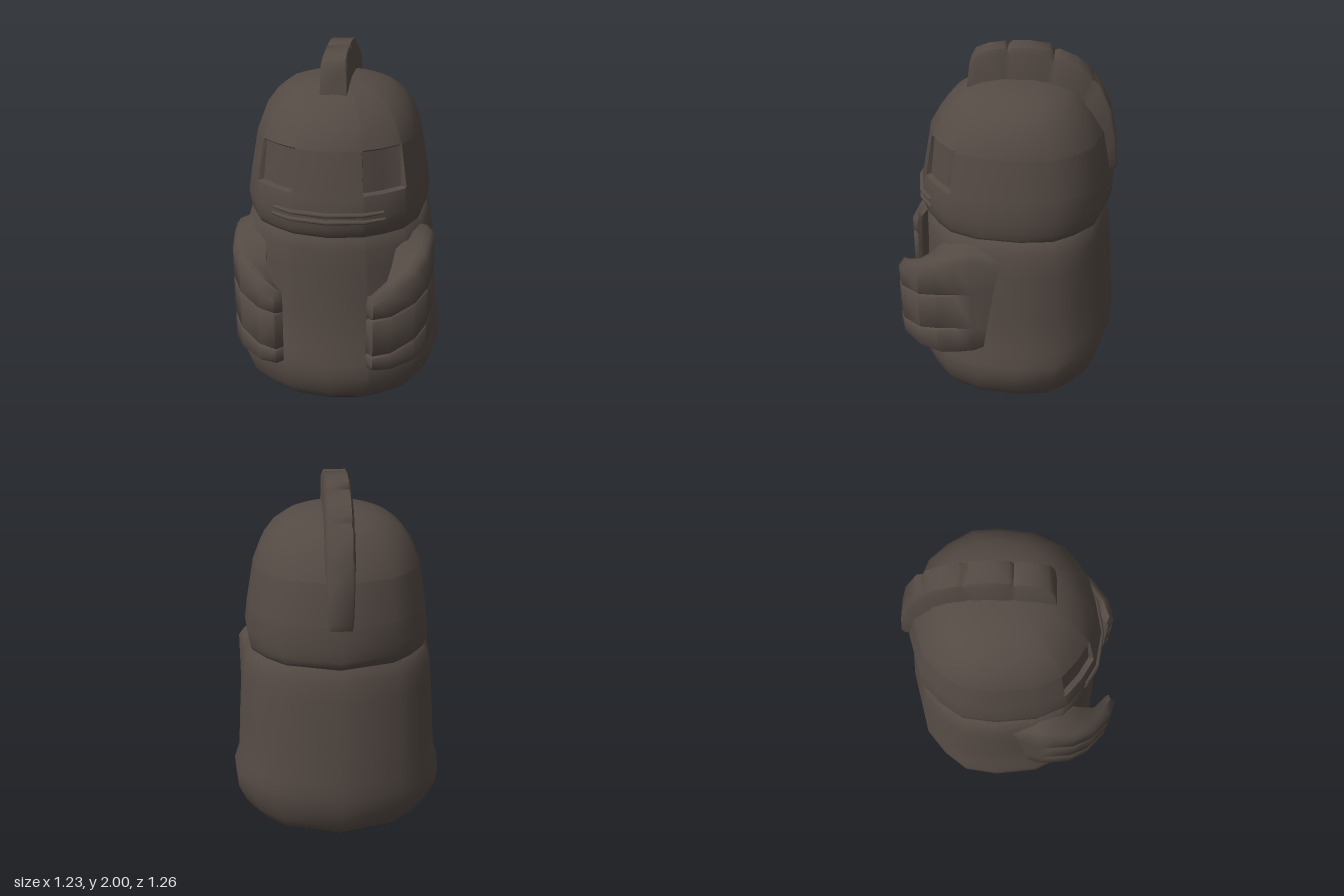
import * as THREE from 'three';
import { toCreasedNormals } from 'three/addons/utils/BufferGeometryUtils.js';

function material(name, color) {
  const m = new THREE.MeshStandardMaterial({ color });
  m.name = name;
  return m;
}
const brown = material('dark brown', 0x544a44);
const black = material('black', 0x232323);

// Skin a list of rings (equal point counts, counter-clockwise about the travel direction) and cap both ends.
function loft(name, rings, { flip = false, mat = brown, crease = 0.95 } = {}) {
  const n = rings[0].length, pos = [], idx = [];
  const tri = (a, b, c) => (flip ? idx.push(a, c, b) : idx.push(a, b, c));
  rings.forEach(r => r.forEach(p => pos.push(...p)));
  const centre = r => {
    pos.push(...[0, 1, 2].map(k => r.reduce((s, p) => s + p[k], 0) / n));
    return pos.length / 3 - 1;
  };
  const last = rings.length - 1;
  const c0 = centre(rings[0]), c1 = centre(rings[last]);
  for (let i = 0; i < n; i++) {
    const k = (i + 1) % n;
    for (let j = 0; j < last; j++) {
      const a = j * n + i, b = j * n + k;
      tri(a, b, b + n);
      tri(a, b + n, a + n);
    }
    tri(c0, k, i);
    tri(c1, last * n + i, last * n + k);
  }
  const g = new THREE.BufferGeometry();
  g.setAttribute('position', new THREE.Float32BufferAttribute(pos, 3));
  g.setIndex(idx);
  const mesh = new THREE.Mesh(toCreasedNormals(g, crease), mat);
  mesh.name = name;
  return mesh;
}

// Half outline seen from above, front to back; columns 2-4 span an eye.
const half = [[0, 1], [0.38, 0.94], [0.4, 0.93], [0.6, 0.82], [0.79, 0.67], [0.81, 0.645],
  [0.95, 0.36], [1, -0.07], [0.96, -0.41], [0.8, -0.64], [0.59, -0.83], [0, -1]];

// Horizontal ring; eye > 0 sinks the eye columns.
function section([y, w, front, back, eye = 0]) {
  const c = (front + back) / 2, d = (front - back) / 2;
  const right = half.map(([x, z], i) => {
    const sink = i >= 2 && i <= 4 ? eye : 0;
    return [x * w - sink * 0.67, y, c + z * d - sink * 0.74];
  });
  const left = right.slice(1, -1).reverse().map(([x, py, z]) => [-x, py, z]);
  return [...right, ...left];
}

// Arm stations: outer x,z, inner x,z, then heights of base, lower groove, upper groove and top.
const armStations = [
  [0.50, -0.10, 0.40, -0.08, 0.40, 0.54, 0.78, 0.96],
  [0.572, 0.18, 0.42, 0.16, 0.36, 0.53, 0.76, 1.02],
  [0.565, 0.27, 0.40, 0.24, 0.34, 0.515, 0.745, 1.0],
  [0.55, 0.38, 0.37, 0.33, 0.325, 0.50, 0.73, 0.96],
  [0.49, 0.49, 0.35, 0.43, 0.32, 0.46, 0.69, 0.90],
  [0.37, 0.60, 0.33, 0.50, 0.32, 0.43, 0.66, 0.84],
  [0.27, 0.633, 0.26, 0.56, 0.325, 0.42, 0.65, 0.79],
  [0.23, 0.60, 0.24, 0.575, 0.33, 0.42, 0.64, 0.775],
];

function arm(side) {
  const rings = armStations.map(([ox, oz, ix, iz, base, g2, g1, top], s) => {
    const depth = s < 2 ? 0 : 0.01, len = Math.hypot(ox - ix, oz - iz);
    const at = (y, inset) => {
      const t = Math.min(inset / len, 0.45);
      return [side * (ox + (ix - ox) * t), y, oz + (iz - oz) * t];
    };
    const groove = y => [at(y - 0.009, 0), at(y, depth), at(y + 0.009, 0)];
    // The shoulder end slopes up into the body, the fingers round over.
    const shoulder = s < 4 ? 0.03 : -0.015;
    return [at(base, 0.02), at(base + 0.02, 0), ...groove(g2), ...groove(g1),
      at(top - 0.05, 0), at(top - 0.015, 0.025), at(top, 0.06),
      [side * ix, top + shoulder, iz], [side * ix, (base + top) / 2, iz], [side * ix, base, iz]];
  });
  return loft(side > 0 ? 'leftArm' : 'rightArm', rings, { flip: side < 0 });
}

// Crest stations front to back: outer z,y, buried z,y and half width (narrow at the grooves).
const crestStations = [
  [0.215, 1.91, 0.235, 1.74, 0.068], [0.19, 1.955, 0.19, 1.72, 0.072],
  [0.12, 1.982, 0.12, 1.72, 0.072], [0.03, 1.995, 0.025, 1.72, 0.072],
  [0.012, 1.98, 0.01, 1.72, 0.066], [-0.008, 1.998, -0.005, 1.72, 0.072],
  [-0.1, 2.0, -0.08, 1.72, 0.072], [-0.215, 1.985, -0.165, 1.72, 0.073],
  [-0.238, 1.95, -0.19, 1.7, 0.067], [-0.26, 1.957, -0.205, 1.7, 0.074],
  [-0.36, 1.915, -0.27, 1.67, 0.075], [-0.438, 1.855, -0.335, 1.63, 0.075],
  [-0.45, 1.828, -0.35, 1.61, 0.07], [-0.485, 1.8, -0.37, 1.59, 0.077],
  [-0.555, 1.65, -0.42, 1.52, 0.075], [-0.59, 1.49, -0.46, 1.42, 0.07],
  [-0.605, 1.33, -0.5, 1.3, 0.064], [-0.595, 1.295, -0.5, 1.28, 0.058],
];

function crest() {
  return loft('crest', crestStations.map(([oz, oy, iz, iy, w]) => {
    const at = (x, t) => [x, oy + (iy - oy) * t, oz + (iz - oz) * t];
    return [at(w * 0.84, 0), at(w, 0.1), at(w * 1.08, 1),
      at(-w * 1.08, 1), at(-w, 0.1), at(-w * 0.84, 0)];
  }));
}

// Thin lip wrapped around the front of the head, tapering into it at both ends.
function lip(name, y, h, reach) {
  const xs = [-1, -0.65, -0.3, 0, 0.3, 0.65, 1];
  return loft(name, xs.map(t => {
    const x = t * reach, a = Math.abs(x), k = h * (1 - 0.35 * t * t);
    const z = a < 0.2 ? 0.526 - a * 0.155 : 0.495 - (a - 0.2) * 0.62;
    const b = z - 0.06;
    return [[x, y + k, b], [x, y + k, z - 0.008], [x, y + k * 0.4, z],
      [x, y - k * 0.4, z], [x, y - k, z - 0.008], [x, y - k, b]];
  }));
}

export function createModel() {
  const group = new THREE.Group();
  group.name = 'figurine';

  // Rows: height, half width, front z, back z.
  group.add(loft('underside', [[0, 0.50, 0.44, -0.52], [0.004, 0.505, 0.444, -0.524]].map(section), { mat: black }));
  group.add(loft('body', [
    [0.004, 0.505, 0.444, -0.524], [0.025, 0.53, 0.47, -0.545], [0.09, 0.57, 0.52, -0.585],
    [0.19, 0.61, 0.54, -0.618], [0.28, 0.615, 0.54, -0.63], [0.37, 0.583, 0.515, -0.63],
    [0.6, 0.57, 0.50, -0.612], [0.86, 0.552, 0.49, -0.59], [0.98, 0.54, 0.49, -0.578],
    [1.03, 0.52, 0.48, -0.56], [1.07, 0.49, 0.46, -0.535],
  ].map(section)));

  // Rows as above, with a fifth value for the depth of the sunken eyes.
  group.add(loft('head', [
    [1.04, 0.475, 0.455, -0.525], [1.055, 0.495, 0.478, -0.555], [1.075, 0.503, 0.492, -0.575],
    [1.11, 0.51, 0.503, -0.584], [1.18, 0.52, 0.515, -0.59], [1.295, 0.505, 0.49, -0.584],
    [1.303, 0.504, 0.489, -0.583, 0.03], [1.525, 0.464, 0.448, -0.543, 0.014],
    [1.535, 0.462, 0.446, -0.54], [1.64, 0.42, 0.385, -0.475], [1.72, 0.36, 0.315, -0.415],
    [1.775, 0.285, 0.24, -0.35], [1.805, 0.205, 0.165, -0.26], [1.825, 0.11, 0.07, -0.16],
  ].map(section)));

  group.add(lip('upperLip', 1.198, 0.013, 0.3), lip('lowerLip', 1.158, 0.013, 0.31));
  group.add(crest(), arm(1), arm(-1));
  return group;
}
